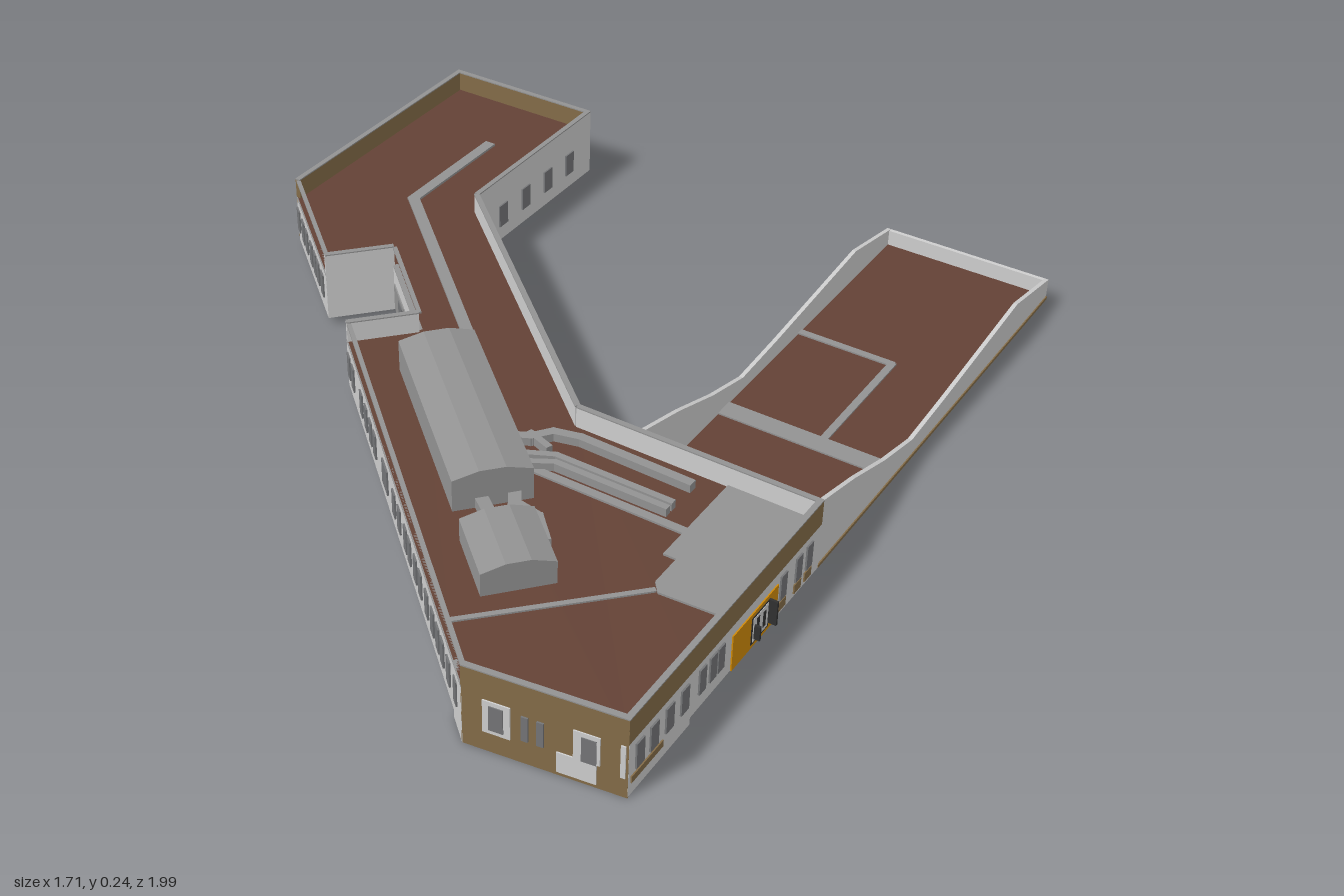
import * as THREE from 'three';

const mat = (name, color) => {
  const m = new THREE.MeshStandardMaterial({ color });
  m.name = name;
  return m;
};

export function createModel() {
  const model = new THREE.Group();
  const grey = mat('lightWall', 0xcecece);
  const olive = mat('oliveCladding', 0x846c48);
  const roofMat = mat('redBrownRoof', 0x644236);
  const metal = mat('metal', 0x929292);
  const glass = mat('glass', 0x747577);
  const orange = mat('orange', 0xd08a08);
  const dark = mat('darkTrim', 0x303030);

  const ROOF = 0.145, TOP = 0.195, BASE = 0.02;

  const add = (parent, name, geo, material, x = 0, y = 0, z = 0) => {
    const m = new THREE.Mesh(geo, material);
    m.name = name;
    m.position.set(x, y, z);
    parent.add(m);
    return m;
  };

  // Flat slab from an (x, z) outline
  const slab = (name, pts, y0, y1, material) => {
    const shape = new THREE.Shape(pts.map(([x, z]) => new THREE.Vector2(x, -z)));
    const geo = new THREE.ExtrudeGeometry(shape, { depth: y1 - y0, bevelEnabled: false });
    geo.rotateX(-Math.PI / 2);
    add(model, name, geo, material, 0, y0, 0);
  };

  // Group whose x axis runs from a to b, with z pointing into the building
  const along = (name, a, b) => {
    const g = new THREE.Group();
    const dx = b[0] - a[0], dz = b[1] - a[1];
    g.name = name;
    g.position.set(a[0], 0, a[1]);
    g.rotation.y = -Math.atan2(dz, dx);
    model.add(g);
    return { g, len: Math.hypot(dx, dz) };
  };

  // Wall from a to b made of bands [bottom, top, material]; returns a function that puts a thin panel on it
  const wall = (name, a, b, bands) => {
    const { g, len } = along(name, a, b);
    const strip = (part, y, h, d, m) => add(g, name + part, new THREE.BoxGeometry(len + 0.003, h, d), m, len / 2, y, 0.004);
    for (const [y0, y1, m] of bands) strip('Band', (y0 + y1) / 2, y1 - y0, 0.012, m);
    const top = bands[bands.length - 1][1];
    strip('Cap', top + 0.0015, 0.003, 0.013, metal);
    if (top < ROOF) strip('Rail', TOP - 0.003, 0.005, 0.01, metal);
    return (s, e, y0, y1, m, lift = 0.003) =>
      add(g, 'wallPanel', new THREE.BoxGeometry((e - s) * len, y1 - y0, lift), m,
        (s + e) / 2 * len, (y0 + y1) / 2, -0.002 - lift / 2);
  };

  // Evenly spaced windows over part of a wall
  const row = (panel, n, s, e, fill, y0 = 0.06) => {
    const step = (e - s) / n;
    for (let i = 0; i < n; i++) {
      const x = s + step * (i + 0.5), w = step * fill / 2;
      panel(x - w, x + w, y0, 0.12, glass, 0.004);
    }
  };

  // Windows at listed coordinates on a wall running from coordinate c0 to c1
  const at = (panel, c0, c1, centres, width) => {
    const w = width / Math.abs(c1 - c0) / 2;
    for (const c of centres) {
      const t = (c - c0) / (c1 - c0);
      panel(t - w, t + w, 0.058, 0.12, glass, 0.004);
    }
  };

  // Main floor plan
  const plan = [[-0.85, -0.91], [-0.43, -0.91], [-0.43, -0.40], [0.25, 0.20], [0.83, 0.20], [0.83, 0.72],
    [0.83, 0.94], [0.50, 0.99], [0.45, 0.945], [-0.36, 0.22], [-0.25, 0.10], [-0.46, -0.09],
    [-0.57, 0.03], [-0.85, -0.21]];
  slab('floor', plan, BASE, BASE + 0.008, grey);
  slab('roof', plan, ROOF - 0.01, ROOF, roofMat);
  slab('lowerFrontFloor', plan.slice(5, 9), 0, BASE, grey);

  // Outer walls, each starting at a corner of the plan
  const side = (name, i, bands) => wall(name, plan[i], plan[(i + 1) % plan.length], bands);
  const full = [[BASE, TOP, grey]];
  const low = [[BASE, ROOF - 0.003, grey]];
  const clad = [[BASE, TOP, olive]];
  const split = y => [[y, 0.135, grey], [0.135, TOP, olive]];

  const back = side('backWall', 0, clad);
  row(back, 2, 0.12, 0.36, 0.5);
  row(back, 3, 0.5, 0.9, 0.5);

  row(side('innerWingWall', 1, full), 4, 0.1, 0.9, 0.35);

  const inner = side('innerDiagonalWall', 2, full);
  row(inner, 10, 0.03, 0.6, 0.7, 0.05);
  row(inner, 6, 0.68, 0.98, 0.7, 0.05);

  const court = side('courtWall', 3, full);
  court(0.04, 0.11, 0.05, 0.12, glass);
  court(0.13, 0.2, 0.05, 0.12, orange);

  // Orange entrance with a framed light panel
  const entrance = side('entranceWall', 4, split(BASE));
  entrance(0.352, 0.702, BASE, 0.11, orange);
  entrance(0.425, 0.56, 0.03, 0.1, dark, 0.004);
  entrance(0.435, 0.55, 0.035, 0.096, grey, 0.005);
  entrance(0.455, 0.475, 0.045, 0.085, dark, 0.006);
  entrance(0.505, 0.525, 0.055, 0.09, dark, 0.006);
  for (const s of [0.07, 0.155, 0.28]) entrance(s, s + 0.055, 0.03, 0.053, olive);
  at(entrance, 0.20, 0.72, [0.25, 0.295, 0.36, 0.61, 0.64, 0.68], 0.025);

  const frontSide = side('frontSideWall', 5, split(0.003));
  at(frontSide, 0.72, 0.94, [0.745, 0.80, 0.855, 0.905], 0.028);
  frontSide(0.46, 0.97, 0.034, 0.05, olive);

  // Front wall with light surrounds behind its windows
  const front = side('frontWall', 6, [[0, TOP, olive]]);
  front(0.01, 0.04, 0.05, 0.13, grey);
  front(0.18, 0.42, 0.01, 0.06, grey);
  front(0.16, 0.32, 0.06, 0.13, grey);
  front(0.7, 0.87, 0.05, 0.13, grey);
  front(0.18, 0.27, 0.06, 0.12, glass, 0.005);
  front(0.74, 0.83, 0.06, 0.12, glass, 0.005);
  row(front, 2, 0.47, 0.66, 0.45);

  side('frontCornerWall', 7, [[0, ROOF - 0.003, grey]])(0.5, 0.85, 0.058, 0.12, glass);

  const diagonal = side('frontDiagonalWall', 8, low);
  at(diagonal, 0.45, -0.36, [-0.34, -0.305, -0.23, -0.19, -0.15, -0.115, 0.04, 0.08, 0.128, 0.157, 0.20, 0.235,
    0.28, 0.32, 0.355, 0.385, 0.425], 0.02);
  at(diagonal, 0.45, -0.36, [-0.03], 0.04);

  side('notchSideWall', 9, full);
  const notch = side('notchBackWall', 10, low);
  notch(0.55, 0.95, 0.03, 0.1, metal);
  notch(0.6, 0.75, 0.04, 0.09, glass, 0.005);
  side('notchEndWall', 11, full);

  at(side('wingDiagonalWall', 12, low), -0.57, -0.85, [-0.605, -0.645, -0.675, -0.71, -0.755, -0.79, -0.835], 0.022);

  const wingSide = side('wingSideWall', 13, clad);
  wingSide(0.7, 0.9, 0.025, 0.1, grey);
  wingSide(0.46, 0.56, 0.03, 0.12, grey);
  wingSide(0.03, 0.1, 0.04, 0.13, grey);
  wingSide(0.045, 0.085, 0.06, 0.12, glass, 0.005);
  wingSide(0.6, 0.67, 0.03, 0.06, orange);
  wingSide(0.3, 0.37, 0.03, 0.06, orange);
  wingSide(0.16, 0.22, 0.05, 0.12, orange);
  row(wingSide, 3, 0.72, 0.96, 0.5);
  row(wingSide, 2, 0.44, 0.66, 0.4);
  row(wingSide, 2, 0.25, 0.42, 0.45);

  // Small sign beside the entrance
  add(model, 'entranceSign', new THREE.BoxGeometry(0.025, 0.06, 0.006), dark, 0.842, 0.07, 0.42);
  add(model, 'entranceSign', new THREE.BoxGeometry(0.02, 0.035, 0.006), dark, 0.84, 0.06, 0.48);

  // Low rear wing: flat roof between two side walls with a dipping top edge
  const rect = (x0, x1, z0, z1) => [[x0, z0], [x1, z0], [x1, z1], [x0, z1]];
  slab('rearWingRoof', rect(0.405, 0.825, -0.995, 0.2), BASE + 0.002, 0.035, roofMat);
  slab('rearWingUnderside', rect(0.40, 0.83, -1, 0.2), BASE - 0.002, BASE + 0.001, grey);
  const edge = [[0.2, TOP], [0.05, 0.155], [-0.1, 0.105], [-0.24, 0.07], [-0.4, 0.08], [-0.8, 0.115], [-1, 0.075]];
  const sideShape = new THREE.Shape([[-1, BASE], [0.2, BASE], ...edge].map(([z, y]) => new THREE.Vector2(-z, y)));
  for (const x of [0.40, 0.82]) {
    const geo = new THREE.ExtrudeGeometry(sideShape, { depth: 0.01, bevelEnabled: false });
    geo.rotateY(Math.PI / 2);
    add(model, 'rearWingSideWall', geo, grey, x, 0, 0);
  }
  add(model, 'rearWingEndWall', new THREE.BoxGeometry(0.43, 0.055, 0.01), grey, 0.615, 0.0475, -0.996);
  add(model, 'rearWingPlinth', new THREE.BoxGeometry(0.004, 0.008, 1.2), olive, 0.831, 0.024, -0.4);

  // Flat strips lying on the roofs
  const strip = (name, pts, y, w, h) => {
    for (let i = 0; i + 1 < pts.length; i++) {
      const { g, len } = along(name, pts[i], pts[i + 1]);
      add(g, name + 'Run', new THREE.BoxGeometry(len + w * 0.5, h, w), metal, len / 2, y + h / 2, 0);
    }
  };
  strip('wingRoofStrip', [[-0.60, -0.69], [-0.60, -0.36], [-0.07, 0.12]], ROOF, 0.028, 0.006);
  strip('rearRoofPath', [[0.41, -0.52], [0.65, -0.52], [0.65, -0.18]], 0.035, 0.018, 0.004);
  strip('rearRoofBand', [[0.42, -0.155], [0.81, -0.155]], 0.035, 0.05, 0.004);
  strip('roofSeam', [[0.66, 0.57], [0.38, 0.86]], ROOF, 0.012, 0.004);
  strip('roofSeam', [[0.24, 0.385], [0.62, 0.385]], ROOF, 0.02, 0.005);
  slab('roofTerrace', [[0.62, 0.21], [0.82, 0.21], [0.82, 0.565], [0.67, 0.575], [0.65, 0.55], [0.65, 0.47], [0.62, 0.47]],
    ROOF, ROOF + 0.005, metal);

  // Roof ducts
  strip('roofDuct', [[0.16, 0.33], [0.20, 0.31], [0.23, 0.27], [0.29, 0.255], [0.56, 0.26]], ROOF, 0.022, 0.02);
  strip('roofDuct', [[0.19, 0.30], [0.25, 0.32]], ROOF, 0.016, 0.02);
  for (const d of [0, 0.022])
    strip('roofDuct', [[0.21 + d, 0.37 + d], [0.28 + d / 2, 0.335 + d], [0.56, 0.335 + d]], ROOF, 0.016, 0.02);
  strip('roofDuct', [[0.28, 0.49], [0.30, 0.52], [0.36, 0.53], [0.41, 0.58]], ROOF, 0.028, 0.025);
  strip('roofDuct', [[0.23, 0.54], [0.27, 0.57], [0.32, 0.60]], ROOF, 0.028, 0.025);

  // Rooftop plant houses with shallow ridged tops
  const plant = (name, x, z, len, w, eave, ridge) => {
    const s = new THREE.Shape([[-w / 2, 0], [w / 2, 0], [w / 2, eave], [w / 6, ridge], [-w / 6, ridge], [-w / 2, eave]]
      .map(p => new THREE.Vector2(...p)));
    const geo = new THREE.ExtrudeGeometry(s, { depth: len, bevelEnabled: false });
    geo.translate(0, 0, -len / 2).rotateY(Math.PI / 2);
    add(model, name, geo, metal, x, ROOF, z).rotation.y = -Math.atan2(0.34, 0.385);
  };
  plant('largePlantHouse', 0.058, 0.355, 0.515, 0.172, 0.077, 0.092);
  plant('smallPlantHouse', 0.375, 0.655, 0.175, 0.155, 0.055, 0.07);

  return model;
}
